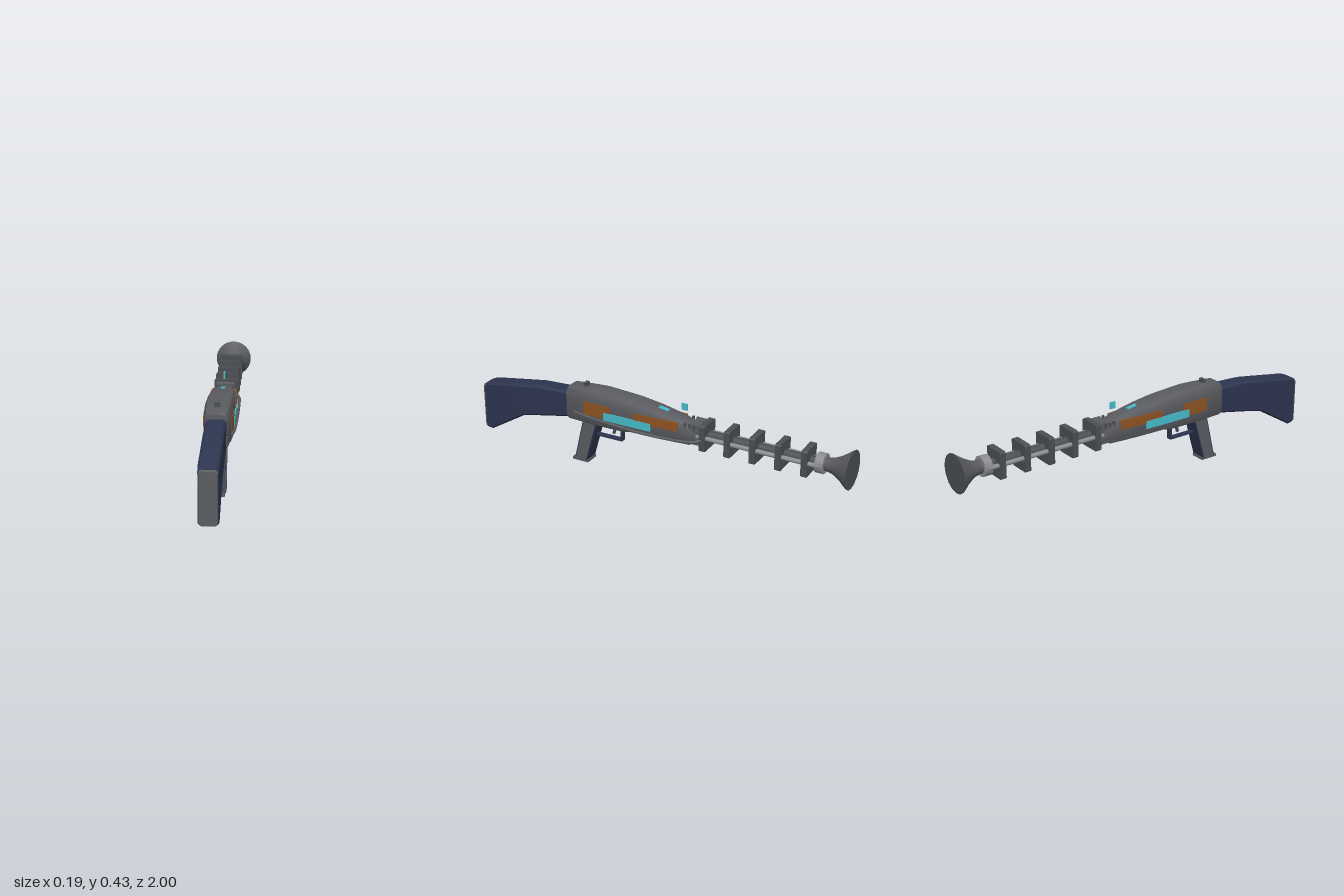
import * as THREE from 'three';
import { toCreasedNormals } from 'three/addons/utils/BufferGeometryUtils.js';

const mat = (name, color, side = THREE.FrontSide) => {
  const m = new THREE.MeshStandardMaterial({ color, side });
  m.name = name;
  return m;
};

// Loft along z through stations [z, bottom, top, halfWidth]; section gives a CCW ring seen from +z
function loft(stations, section, crease = 0.4) {
  const rings = stations.map((s) => section(...s.slice(1)));
  const n = rings[0].length, pos = [], idx = [];
  rings.forEach((r, k) => r.forEach(([x, y]) => pos.push(x, y, stations[k][0])));
  for (let k = 0; k < rings.length - 1; k++) {
    for (let i = 0; i < n; i++) {
      const a = k * n + i, b = k * n + (i + 1) % n;
      idx.push(a, a + n, b + n, a, b + n, b);
    }
  }
  const last = (rings.length - 1) * n;
  for (let i = 1; i < n - 1; i++) idx.push(0, i, i + 1, last, last + i + 1, last + i);
  const g = new THREE.BufferGeometry();
  g.setAttribute('position', new THREE.Float32BufferAttribute(pos, 3));
  g.setIndex(idx);
  return toCreasedNormals(g, crease);
}

const mirrorRing = (right) => [...right, ...right.slice().reverse().map(([x, y]) => [-x, y])];
const chamfered = (b, t, w, c = 0.01) => mirrorRing([[w - c, b], [w, b + c], [w, t - c], [w - c, t]]);
const domed = (b, t, w) => mirrorRing([
  [w * 0.85, b], [w, b + 0.018], [w, t - 0.05], [w * 0.96, t - 0.025], [w * 0.82, t - 0.008], [w * 0.5, t],
]);

const BODY = [
  [0.49, 0.237, 0.395, 0.05], [0.475, 0.232, 0.404, 0.056], [0.36, 0.232, 0.41, 0.064],
  [0.3, 0.232, 0.412, 0.066], [0.16, 0.234, 0.404, 0.066], [0.11, 0.245, 0.4, 0.066],
  [0, 0.25, 0.386, 0.064], [-0.12, 0.255, 0.365, 0.056], [-0.2, 0.258, 0.345, 0.048], [-0.24, 0.26, 0.335, 0.045],
];
function bodyAt(z, field) {
  for (let i = 0; i < BODY.length - 1; i++) {
    const p = BODY[i], q = BODY[i + 1];
    if (z <= p[0] && z >= q[0]) return p[field] + (q[field] - p[field]) * (p[0] - z) / (p[0] - q[0]);
  }
  return z > 0 ? BODY[0][field] : BODY[BODY.length - 1][field];
}

export function createModel() {
  const model = new THREE.Group();
  model.name = 'rifle';
  const grey = mat('gunmetal', 0x5a5c61);
  const dark = mat('dark steel', 0x4b4e52);
  const light = mat('light steel', 0x8b8d90);
  const navy = mat('navy', 0x2d3550);
  const orange = mat('orange brown', 0x8f5322);
  const cyan = mat('cyan glow', 0x46bccb);

  const add = (name, geo, m, x = 0, y = 0, z = 0) => {
    const mesh = new THREE.Mesh(geo, m);
    mesh.name = name;
    mesh.position.set(x, y, z);
    model.add(mesh);
    return mesh;
  };
  const box = (name, m, w, h, d, x, y, z) => add(name, new THREE.BoxGeometry(w, h, d), m, x, y, z);

  // Stock and butt plate
  add('stock', loft([
    [0.99, 0.056, 0.303, 0.044], [0.96, 0.053, 0.315, 0.046], [0.76, 0.175, 0.348, 0.046],
    [0.66, 0.198, 0.364, 0.046], [0.47, 0.237, 0.373, 0.046],
  ], chamfered), navy);
  add('buttPlate', loft([[1, 0.058, 0.297, 0.039], [0.988, 0.055, 0.303, 0.043]], chamfered), grey);

  // Receiver
  add('receiver', loft(BODY, domed, 0.6), grey);

  // Side panels bent to follow the receiver's outline
  const panel = (name, m, z0, z1, y0, y1, off, side) => {
    const g = new THREE.BoxGeometry(0.008, y1 - y0, z1 - z0, 1, 1, 8);
    g.translate(0, (y0 + y1) / 2, (z0 + z1) / 2);
    const p = g.attributes.position;
    for (let i = 0; i < p.count; i++) p.setX(i, p.getX(i) + side * (bodyAt(p.getZ(i), 3) + off));
    g.computeVertexNormals();
    add(name, g, m);
  };
  for (const side of [1, -1]) {
    panel('rearSidePanel', orange, 0.23, 0.38, 0.284, 0.353, -0.001, side);
    panel('frontSidePanel', orange, -0.135, 0.1, 0.306, 0.353, -0.001, side);
    panel('glowPanel', cyan, 0.005, 0.265, 0.278, 0.318, 0.002, side);
    panel('sideRail', dark, -0.2, 0.43, 0.25, 0.262, -0.001, side);
    for (let i = 0; i < 3; i++) box('coolingTooth', dark, 0.012, 0.02, 0.01, side * 0.044, 0.345, -0.17 - i * 0.024);
  }

  // Sights and top light
  box('rearSight', dark, 0.03, 0.026, 0.018, 0, 0.414, 0.4);
  box('frontSight', cyan, 0.008, 0.033, 0.03, 0, 0.417, -0.145);
  box('topLight', cyan, 0.02, 0.008, 0.052, 0, bodyAt(-0.035, 2) + 0.001, -0.035).rotation.x = -0.15;

  // Side pipe, left only
  const pipe = new THREE.CatmullRomCurve3([
    [0.05, 0.29, -0.262], [0.068, 0.28, -0.235], [0.072, 0.268, -0.15], [0.074, 0.262, 0.05],
    [0.075, 0.268, 0.2], [0.073, 0.278, 0.36], [0.064, 0.283, 0.435],
  ].map((p) => new THREE.Vector3(...p)));
  add('sidePipe', new THREE.TubeGeometry(pipe, 32, 0.007, 8), grey);

  // Barrel with square fins and side rods
  const rod = (name, m, r, z0, z1, x, y) => {
    const g = new THREE.CylinderGeometry(r, r, z1 - z0, 16);
    g.rotateX(Math.PI / 2);
    add(name, g, m, x, y, (z0 + z1) / 2);
  };
  const axisY = 0.298;
  rod('barrel', dark, 0.025, -0.87, -0.2, 0, axisY);
  for (const side of [1, -1]) rod('barrelRod', light, 0.011, -0.85, -0.23, side * 0.04, axisY);
  box('barrelMount', grey, 0.088, 0.105, 0.045, 0, 0.305, -0.22);
  for (let i = 0; i < 5; i++) {
    const fin = new THREE.Shape(chamfered(-0.067, 0.067, 0.057, 0.006).map((p) => new THREE.Vector2(...p)));
    const g = new THREE.ExtrudeGeometry(fin, { depth: 0.03, bevelEnabled: false });
    add('barrelFin', g, dark, 0, axisY, -0.281 - i * 0.13);
  }

  // Collar and flared muzzle
  rod('muzzleCollar', light, 0.049, -0.872, -0.832, 0, axisY);
  const flare = [[0.032, 0.86], [0.033, 0.885], [0.038, 0.91], [0.05, 0.935], [0.066, 0.96], [0.082, 0.98], [0.095, 0.998]];
  const bell = new THREE.LatheGeometry(flare.map((p) => new THREE.Vector2(...p)), 32);
  bell.rotateX(-Math.PI / 2);
  add('muzzleBell', bell, grey, 0, axisY);
  rod('muzzleFace', dark, 0.095, -1, -0.997, 0, axisY);

  // Slanted pistol grip: navy core, grey side plates, base
  const slant = (inset, width) => {
    const s = new THREE.Shape([
      [-0.402 + inset, 0.237], [-0.455 + inset, 0.012], [-0.385 - inset, 0.012], [-0.322 - inset, 0.237],
    ].map((p) => new THREE.Vector2(...p)));
    const g = new THREE.ExtrudeGeometry(s, { depth: width, bevelEnabled: false });
    g.translate(0, 0, -width / 2);
    return g.rotateY(Math.PI / 2);
  };
  add('grip', slant(0, 0.08), navy);
  for (const side of [1, -1]) add('gripSidePlate', slant(0.006, 0.006), grey, side * 0.04);
  box('gripBase', grey, 0.076, 0.013, 0.09, 0, 0.0065, 0.425);

  // Trigger guard and trigger
  box('guardBottom', navy, 0.028, 0.008, 0.145, 0, 0.157, 0.267);
  box('guardFront', navy, 0.028, 0.092, 0.008, 0, 0.199, 0.198);
  box('trigger', dark, 0.012, 0.065, 0.012, 0, 0.212, 0.24).rotation.x = -0.25;

  return model;
}
